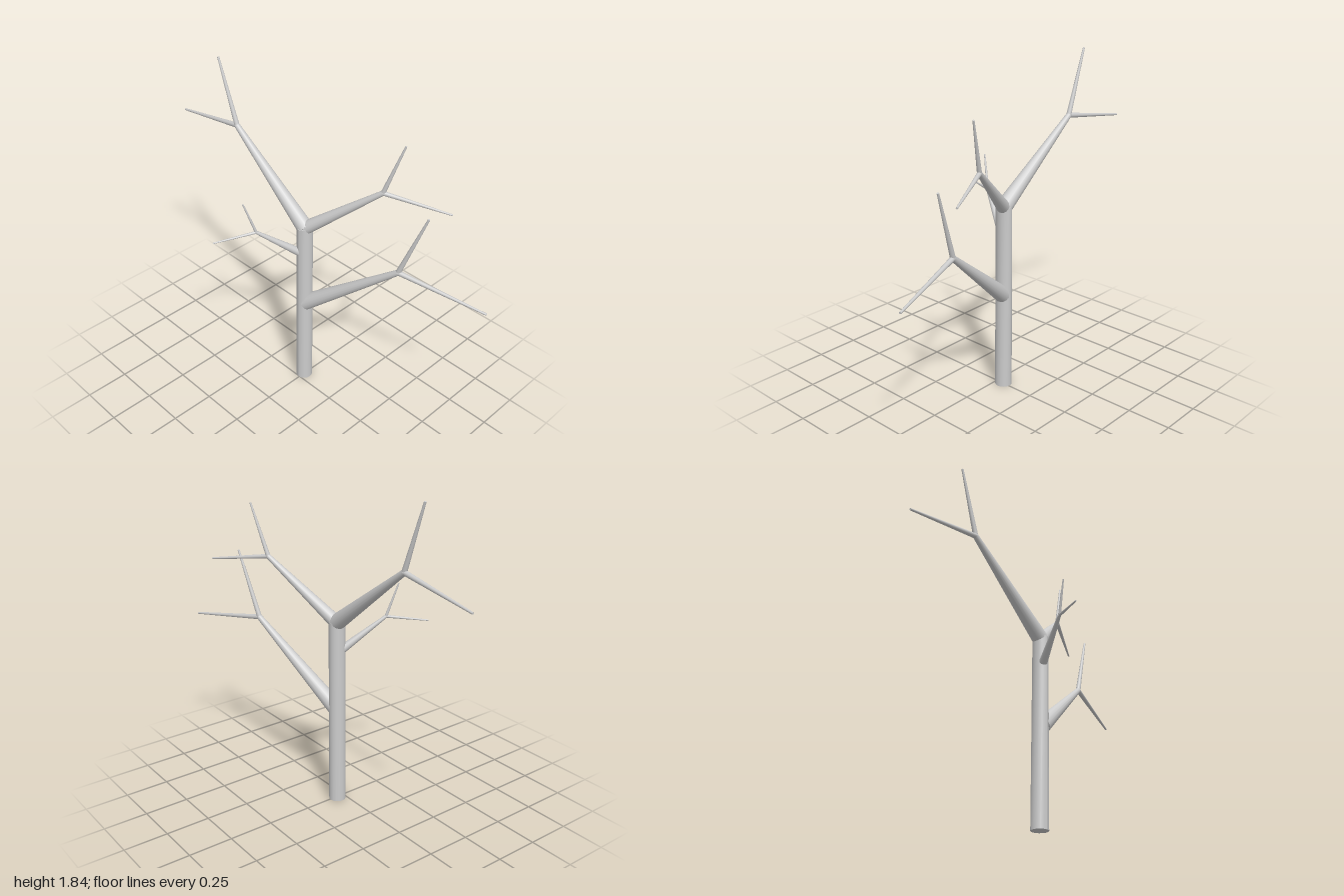
import * as THREE from 'three';

const bark = new THREE.MeshStandardMaterial({ color: 0xcccccc });
const UP = new THREE.Vector3(0, 1, 0);

// Tapered limb running from point a to point b
function limb(name, a, b, ra, rb) {
  const start = new THREE.Vector3(...a), end = new THREE.Vector3(...b);
  const dir = end.clone().sub(start);
  const mesh = new THREE.Mesh(new THREE.CylinderGeometry(rb, ra, dir.length(), 16), bark);
  mesh.name = name;
  mesh.position.copy(start).add(end).multiplyScalar(0.5);
  mesh.quaternion.setFromUnitVectors(UP, dir.normalize());
  return mesh;
}

// Each bough leaves the trunk, then forks into an upright and a spreading twig
const boughs = [
  { name: 'upperRightBough', base: [0, 1.07, -0.045], fork: [-0.54, 1.48, -0.05], r: [0.046, 0.016, 0.006],
    tips: [[-0.665, 1.84, -0.046], [-1, 1.405, -0.052]] },
  { name: 'upperLeftBough', base: [0, 1.075, -0.048], fork: [0.37, 1.385, -0.225], r: [0.038, 0.014, 0.005],
    tips: [[0.457, 1.67, -0.272], [0.69, 1.33, -0.388]] },
  { name: 'lowerLeftBough', base: [0.005, 0.565, -0.045], fork: [0.53, 0.985, -0.195], r: [0.047, 0.016, 0.006],
    tips: [[0.66, 1.36, -0.237], [1, 0.907, -0.333]] },
  { name: 'frontBough', base: [-0.016, 0.915, -0.02], fork: [-0.132, 1.093, 0.19], r: [0.024, 0.009, 0.004],
    tips: [[-0.167, 1.277, 0.245], [-0.25, 1.06, 0.39]] },
];

export function createModel() {
  const tree = new THREE.Group();
  tree.name = 'bareTree';

  // Trunk, narrowing slightly from side to side towards the top
  const trunk = limb('trunk', [-0.006, 0, -0.045], [-0.006, 1.08, -0.045], 0.048, 0.048);
  const pos = trunk.geometry.attributes.position;
  for (let i = 0; i < pos.count; i++) if (pos.getY(i) > 0) pos.setX(i, pos.getX(i) * 0.83);
  trunk.geometry.computeVertexNormals();
  tree.add(trunk);

  for (const { name, base, fork, r, tips } of boughs) {
    const bough = new THREE.Group();
    bough.name = name;
    bough.add(limb('branch', base, fork, r[0], r[1]));
    // Rounded knuckle closing the fork
    const knuckle = new THREE.Mesh(new THREE.SphereGeometry(r[1], 12, 8), bark);
    knuckle.name = 'fork';
    knuckle.position.set(...fork);
    bough.add(knuckle);
    tips.forEach((tip, i) => bough.add(limb(i ? 'spreadingTwig' : 'uprightTwig', fork, tip, r[1] * 0.9, r[2])));
    tree.add(bough);
  }
  return tree;
}
